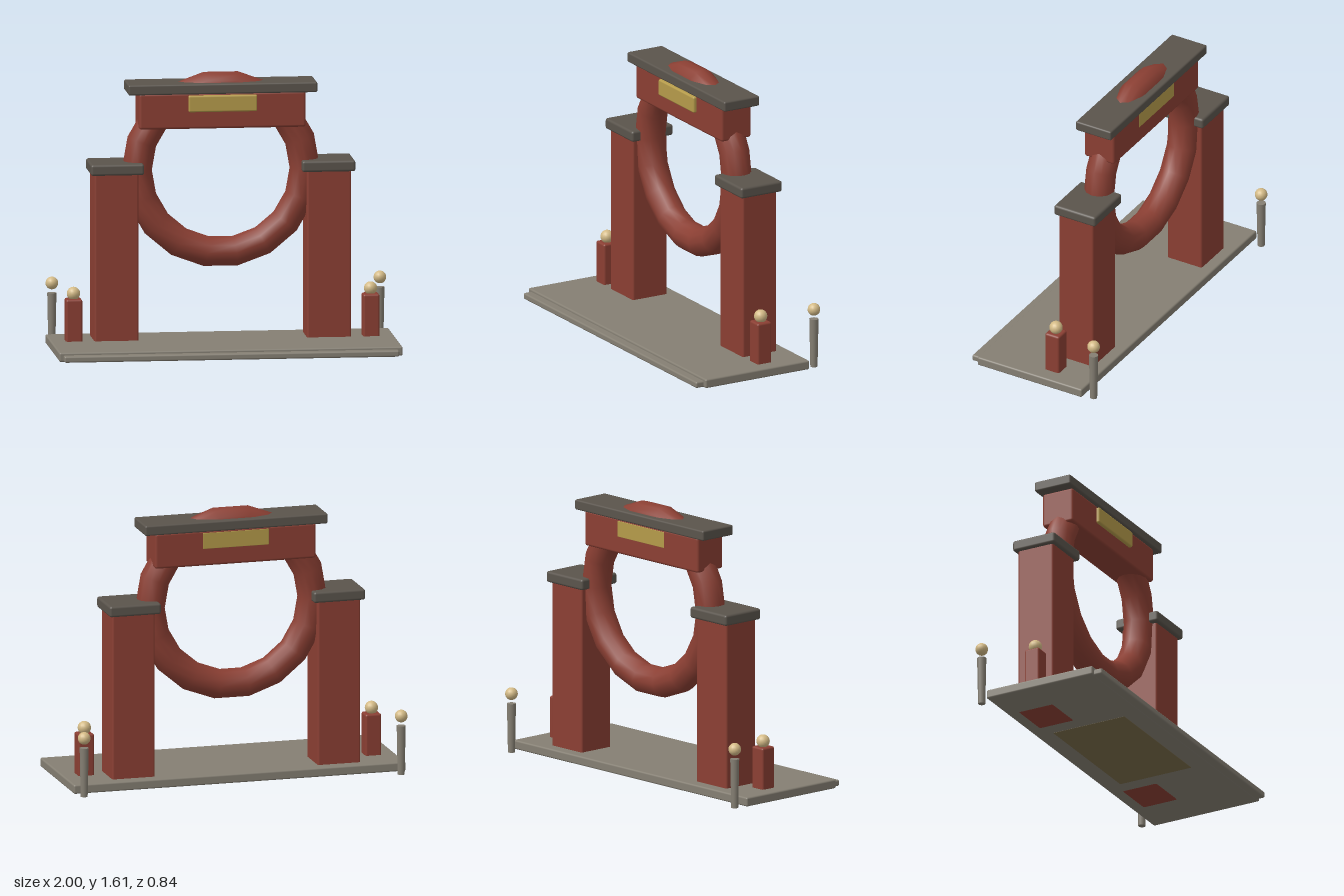
import * as THREE from 'three';
import { RoundedBoxGeometry } from 'three/addons/geometries/RoundedBoxGeometry.js';

const mat = (color) => new THREE.MeshStandardMaterial({ color });

export function createModel() {
  const model = new THREE.Group();
  model.name = 'ringGate';
  const red = mat(0x8b3f33), slate = mat(0x5a544c), stone = mat(0x857f73);
  const gold = mat(0xb59b4a), cream = mat(0xd3ba86);

  const add = (name, geometry, material, x, y, z) => {
    const mesh = new THREE.Mesh(geometry, material);
    mesh.name = name;
    mesh.position.set(x, y, z);
    model.add(mesh);
    return mesh;
  };
  // Softly bevelled box given by its extents
  const block = (name, material, [x0, x1], [y0, y1], [z0, z1], bevel = 0.01) =>
    add(name, new RoundedBoxGeometry(x1 - x0, y1 - y0, z1 - z0, 2, bevel), material,
      (x0 + x1) / 2, (y0 + y1) / 2, (z0 + z1) / 2);

  // Ground slab with a low front step
  block('base', stone, [-1, 1], [0.006, 0.06], [-0.33, 0.37]);
  block('frontStep', stone, [-0.975, 0.975], [0.008, 0.045], [0.3, 0.42]);
  block('underPanel', mat(0x7a6c4a), [-0.4, 0.4], [0.004, 0.03], [-0.22, 0.25], 0.002);

  // Ring standing between the pillars; its crown shows above the roof
  add('ring', new THREE.TorusGeometry(0.489, 0.088, 12, 18), red, 0, 1.04, -0.145);

  // Lintel, roof slab and name plates
  block('lintel', red, [-0.485, 0.485], [1.29, 1.5], [-0.245, -0.045], 0.015);
  block('roof', slate, [-0.55, 0.55], [1.495, 1.555], [-0.262, -0.025]);
  block('frontPlate', gold, [-0.2, 0.2], [1.39, 1.487], [-0.08, -0.025]);
  block('backPlate', gold, [-0.2, 0.2], [1.39, 1.487], [-0.246, -0.2], 0.004);

  // Mirrored supports and posts
  for (const s of [-1, 1]) {
    const side = s > 0 ? 'left' : 'right';
    const span = (a, b) => (s > 0 ? [a, b] : [-b, -a]);
    block(side + 'Pillar', red, span(0.49, 0.748), [0.003, 1.04], [-0.26, -0.03], 0.012);
    block(side + 'PillarCap', slate, span(0.46, 0.77), [1.03, 1.095], [-0.285, -0.008], 0.014);
    block(side + 'Bollard', red, span(0.817, 0.913), [0.04, 0.305], [-0.127, -0.032], 0.012);
    add(side + 'BollardBall', new THREE.SphereGeometry(0.039, 16, 12), cream, s * 0.865, 0.335, -0.08);
    add(side + 'LampPost', new THREE.CylinderGeometry(0.027, 0.021, 0.29, 12), stone, s * 0.955, 0.148, -0.385);
    add(side + 'LampBall', new THREE.SphereGeometry(0.037, 16, 12), cream, s * 0.955, 0.35, -0.385);
  }
  return model;
}
